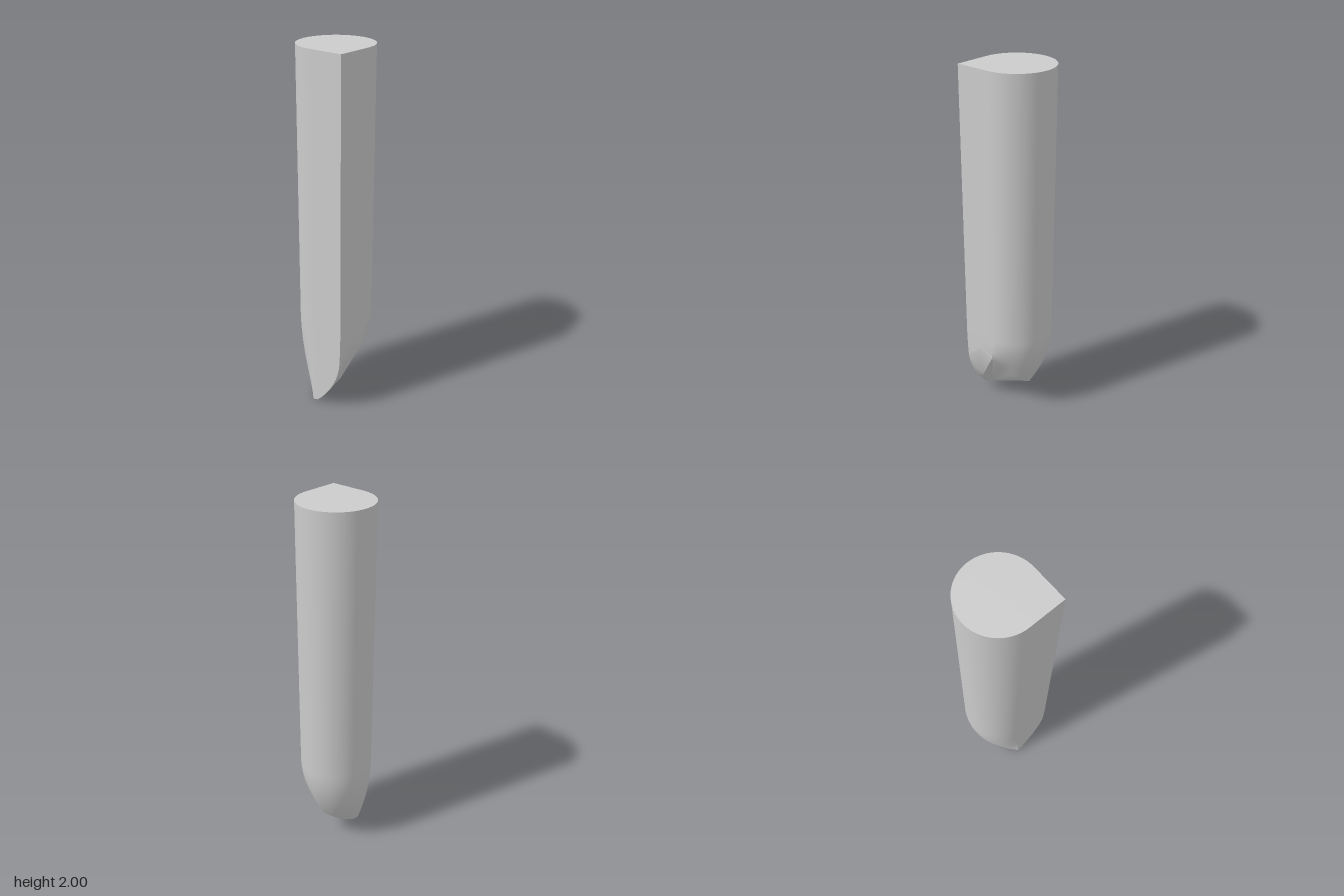
import * as THREE from 'three';
import { toCreasedNormals } from 'three/addons/utils/BufferGeometryUtils.js';

const V = (x, y, z) => new THREE.Vector3(x, y, z);
const curve = (...pts) => new THREE.CatmullRomCurve3(pts.map(p => V(...p)), false, 'centripetal');

const TOP = 2, SHOULDER = 0.5, R = 0.2, STEPS = 12;

// Each column joins a point of the plan outline to its lower end
function makeColumns() {
  const columns = [];
  const add = (x, z, end) => columns.push({ x, z, end });

  // Flat front, its lower edge sweeping from the tip up to the corner
  const frontEdge = curve([0, 0, R], [0.03, 0.008, R], [0.08, 0.06, R], [0.13, 0.13, R], [0.17, 0.21, R], [0.192, 0.29, R]);
  for (let i = 0; i <= 10; i++) {
    const end = frontEdge.getPoint(i / 10);
    add(i === 10 ? R : end.x, R, end);
  }
  // Flat side
  add(R, 0.1, V(R, 0.39, 0.1));
  add(R, 0, V(0.198, 0.36, 0.01));
  const grooveIndex = columns.length - 1;

  // Rounded back, then rounded left side down to the tip
  const arcs = [
    curve([0.198, 0.36, 0.01], [0.13, 0.275, -0.03], [0.055, 0.175, -0.075], [0, 0.15, -0.1]),
    curve([0, 0.15, -0.1], [-0.06, 0.125, -0.06], [-0.095, 0.09, 0.01], [-0.1, 0.07, 0.06], [-0.06, 0.03, 0.14], [0, 0, R]),
  ];
  const arc = (ends, from, sweep, n) => {
    for (let i = 1; i <= n; i++) {
      const a = from + sweep * i / n;
      add(R * Math.cos(a), -R * Math.sin(a), ends.getPoint(i / n));
    }
  };
  arc(arcs[0], 0, Math.PI / 2, 20);
  arc(arcs[1], Math.PI / 2, Math.PI, 40);
  return { columns, grooveIndex };
}

function makeBody() {
  const { columns, grooveIndex } = makeColumns();
  const data = [];
  const tri = (a, b, c) => {
    const area = b.clone().sub(a).cross(c.clone().sub(a)).length();
    if (area > 1e-9) for (const p of [a, b, c]) data.push(p.x, p.y, p.z);
  };

  // Straight shaft above the shoulder, a parabola tapering below it
  const lines = columns.map(({ x, z, end }) => {
    const line = [V(x, TOP, z)];
    for (let s = 0; s <= STEPS; s++) {
      const u = s / STEPS, h = u * u;
      line.push(V(x + (end.x - x) * h, SHOULDER + (end.y - SHOULDER) * u, z + (end.z - z) * h));
    }
    return line;
  });

  const tip = V(0, 0, R), facet = V(0.145, 0.17, 0.13), centre = V(0, TOP, 0);
  for (let i = 0; i < lines.length; i++) {
    const a = lines[i], b = lines[(i + 1) % lines.length], last = a.length - 1;
    for (let s = 0; s < last; s++) {
      tri(a[s + 1], b[s + 1], b[s]);
      tri(a[s + 1], b[s], a[s]);
    }
    tri(a[0], b[0], centre);
    // Underside: facets beside the groove, then the oblique cut to the tip
    tri(b[last], a[last], i < grooveIndex ? facet : tip);
  }
  tri(facet, tip, lines[grooveIndex][STEPS + 1]);

  const geometry = new THREE.BufferGeometry();
  geometry.setAttribute('position', new THREE.Float32BufferAttribute(data, 3));
  return toCreasedNormals(geometry, 0.4);
}

export function createModel() {
  const group = new THREE.Group();
  const body = new THREE.Mesh(makeBody(), new THREE.MeshStandardMaterial({ color: 0xcccccc }));
  body.name = 'pointedShaft';
  group.add(body);
  return group;
}
